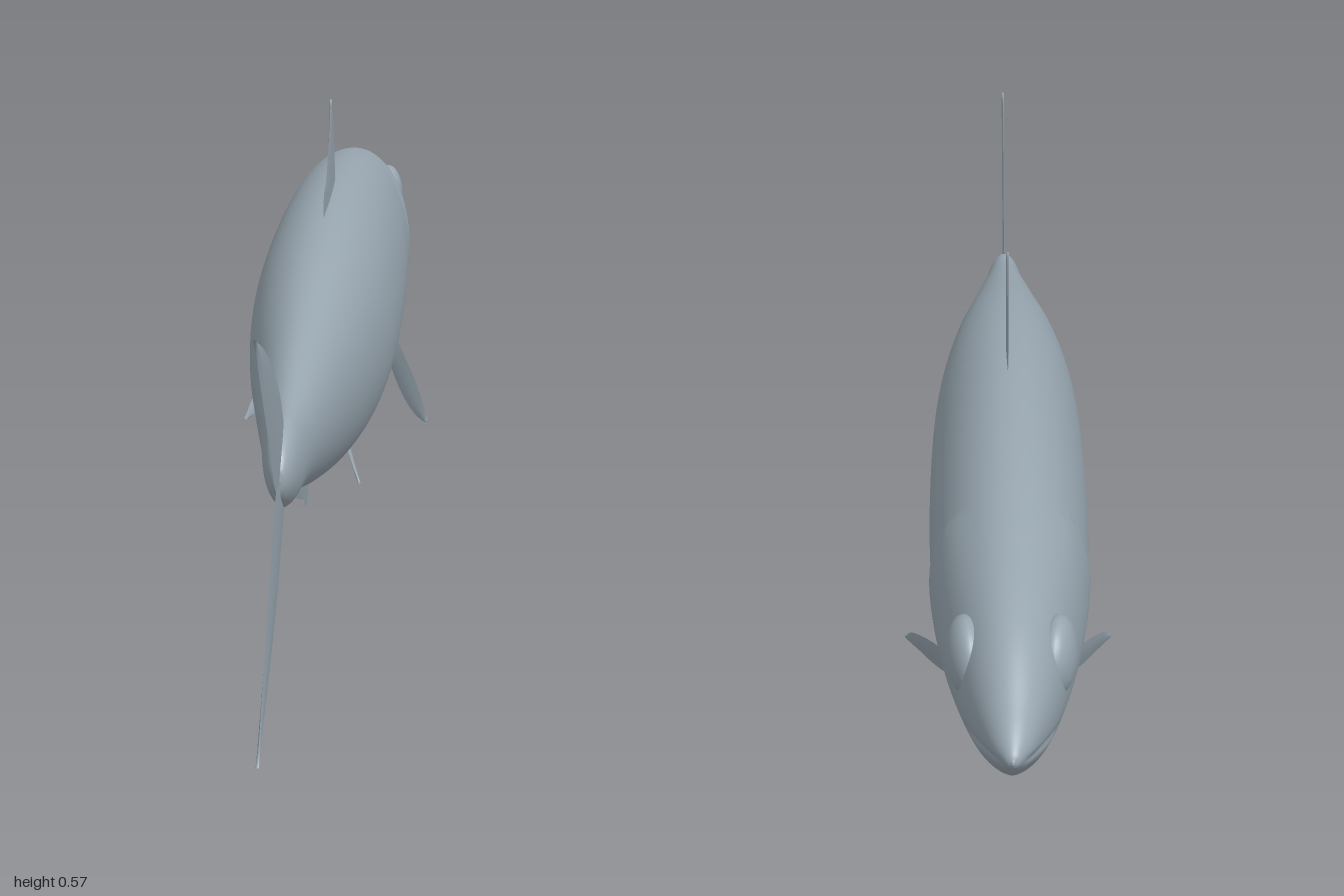
import * as THREE from 'three';

const V = (x, y, z) => new THREE.Vector3(x, y, z);
const smooth = THREE.MathUtils.smoothstep;

function surface(positions, index) {
  const g = new THREE.BufferGeometry();
  g.setAttribute('position', new THREE.Float32BufferAttribute(positions, 3));
  g.setIndex(index);
  g.computeVertexNormals();
  return g;
}

// Body sections from snout to tail root: z, top, bottom, half width
const SECTIONS = [
  [-1, 0.249, 0.245, 0.001], [-0.99, 0.262, 0.234, 0.012], [-0.95, 0.29, 0.207, 0.031],
  [-0.85, 0.347, 0.152, 0.06], [-0.7, 0.387, 0.107, 0.086], [-0.5, 0.415, 0.068, 0.102],
  [-0.25, 0.427, 0.047, 0.108], [0, 0.418, 0.059, 0.105], [0.2, 0.394, 0.09, 0.089],
  [0.4, 0.353, 0.138, 0.062], [0.58, 0.316, 0.187, 0.036], [0.66, 0.306, 0.196, 0.026],
  [0.7, 0.288, 0.213, 0.018], [0.72, 0.268, 0.23, 0.009], [0.725, 0.25, 0.248, 0.001],
];

function bodyGeometry(rings = 180, sides = 112) {
  const heights = new THREE.CatmullRomCurve3(SECTIONS.map(s => V(s[0], s[1], s[2])), false, 'catmullrom', 0.5);
  const widths = new THREE.CatmullRomCurve3(SECTIONS.map(s => V(s[0], s[3], 0)), false, 'catmullrom', 0.5);
  const pos = [], idx = [];
  for (let i = 0; i <= rings; i++) {
    const h = heights.getPoint(i / rings), w = Math.max(widths.getPoint(i / rings).y, 0.0005);
    const z = h.x, mid = h.z + (h.y - h.z) * 0.53;
    for (let j = 0; j < sides; j++) {
      const a = j / sides * Math.PI * 2, c = Math.cos(a), s = Math.sin(a);
      const y = mid + s * (s > 0 ? h.y - mid : mid - h.z);
      // egg-shaped section, narrower towards the belly
      let x = w * Math.sign(c) * Math.pow(Math.abs(c), s < 0 ? 1.25 : 1);
      // gill cover: slight swelling that ends in a curved step
      const edge = -0.535 - 0.035 * ((y - 0.24) / 0.1) ** 2;
      const gill = smooth(z, -0.8, edge) * (1 - smooth(z, edge, edge + 0.014));
      x += Math.sign(c) * 0.0035 * gill * smooth(Math.abs(c), 0.45, 0.8);
      // mouth crease: narrow groove sloping back from the snout
      const line = 0.247 - (z + 1) * 0.25;
      const groove = Math.exp(-(((y - line) / 0.005) ** 2)) * smooth(z, -0.995, -0.97) * (1 - smooth(z, -0.86, -0.83));
      x *= 1 - 0.12 * groove;
      pos.push(x, y, z);
      if (i < rings) {
        const k = (j + 1) % sides, p = i * sides + j, q = i * sides + k;
        idx.push(p, q, p + sides, q, q + sides, p + sides);
      }
    }
  }
  return surface(pos, idx);
}

// Thin fin lofted between two edge curves, swelling slightly in the middle
function finGeometry(edgeA, edgeB, normal, thick = 0.002, n = 28, m = 6) {
  const A = new THREE.CatmullRomCurve3(edgeA), B = new THREE.CatmullRomCurve3(edgeB);
  const pos = [], idx = [];
  for (const side of [1, -1]) {
    const base = pos.length / 3;
    for (let i = 0; i <= n; i++) {
      const a = A.getPointAt(i / n), b = B.getPointAt(i / n);
      for (let j = 0; j <= m; j++) {
        const bulge = side * thick * Math.sin(Math.PI * j / m);
        pos.push(...a.clone().lerp(b, j / m).addScaledVector(normal, bulge).toArray());
        if (i < n && j < m) {
          const p = base + i * (m + 1) + j, q = p + m + 1;
          if (side > 0) idx.push(p, p + 1, q, p + 1, q + 1, q);
          else idx.push(p, q, p + 1, p + 1, q, q + 1);
        }
      }
    }
  }
  return surface(pos, idx);
}

export function createModel() {
  const fish = new THREE.Group();
  fish.name = 'fish';
  const skin = new THREE.MeshStandardMaterial({ color: 0x97a5af });
  skin.name = 'silver grey';
  skin.side = THREE.DoubleSide;

  const add = (name, geometry) => {
    const mesh = new THREE.Mesh(geometry, skin);
    mesh.name = name;
    fish.add(mesh);
    return mesh;
  };
  const flat = list => list.map(([z, y]) => V(0, y, z));
  const middleFin = (name, a, b) => add(name, finGeometry(flat(a), flat(b), V(1, 0, 0)));

  add('body', bodyGeometry());

  // Fins on the centre line, as [z, y] edges
  middleFin('dorsalFin',
    [[-0.25, 0.4], [-0.232, 0.43], [-0.195, 0.515], [-0.17, 0.54], [-0.135, 0.568]],
    [[0.005, 0.4], [0.002, 0.448], [-0.04, 0.462], [-0.085, 0.5], [-0.135, 0.568]]);
  middleFin('analFin',
    [[0.26, 0.14], [0.285, 0.11], [0.305, 0.088], [0.33, 0.085], [0.37, 0.108], [0.42, 0.125], [0.48, 0.147]],
    [[0.26, 0.14], [0.37, 0.165], [0.49, 0.185]]);
  middleFin('upperTailFin',
    [[0.63, 0.28], [0.66, 0.307], [0.69, 0.34], [0.77, 0.397], [0.89, 0.459], [1, 0.5]],
    [[0.66, 0.24], [0.76, 0.248], [0.8, 0.285], [0.865, 0.355], [0.945, 0.437], [1, 0.5]]);
  middleFin('lowerTailFin',
    [[0.63, 0.22], [0.66, 0.193], [0.69, 0.163], [0.77, 0.102], [0.89, 0.042], [1, 0]],
    [[0.66, 0.256], [0.76, 0.248], [0.8, 0.215], [0.865, 0.146], [0.945, 0.064], [1, 0]]);

  // Paired fins and eyes
  for (const [side, s] of [['left', 1], ['right', -1]]) {
    const pts = list => list.map(([x, y, z]) => V(s * x, y, z));
    add(side + 'PectoralFin', finGeometry(
      pts([[0.066, 0.122, -0.51], [0.079, 0.121, -0.48], [0.096, 0.105, -0.42], [0.12, 0.08, -0.34], [0.138, 0.053, -0.275], [0.144, 0.036, -0.25]]),
      pts([[0.058, 0.108, -0.51], [0.068, 0.09, -0.47], [0.083, 0.064, -0.42], [0.104, 0.043, -0.35], [0.125, 0.033, -0.29], [0.144, 0.031, -0.25]]),
      V(s * 0.75, 0.65, 0), 0.003));
    add(side + 'PelvicFin', finGeometry(
      pts([[0.022, 0.07, -0.11], [0.033, 0.05, -0.075], [0.044, 0.029, -0.035], [0.053, 0.011, 0]]),
      pts([[0.022, 0.07, -0.05], [0.032, 0.052, -0.04], [0.044, 0.028, -0.015], [0.053, 0.011, 0]]),
      V(s * 0.88, 0.47, 0)));
    const eye = add(side + 'Eye', new THREE.SphereGeometry(1, 40, 28));
    eye.scale.set(0.024, 0.049, 0.05);
    eye.position.set(s * 0.054, 0.286, -0.808);
    eye.rotation.y = s * 0.16;
  }
  return fish;
}
